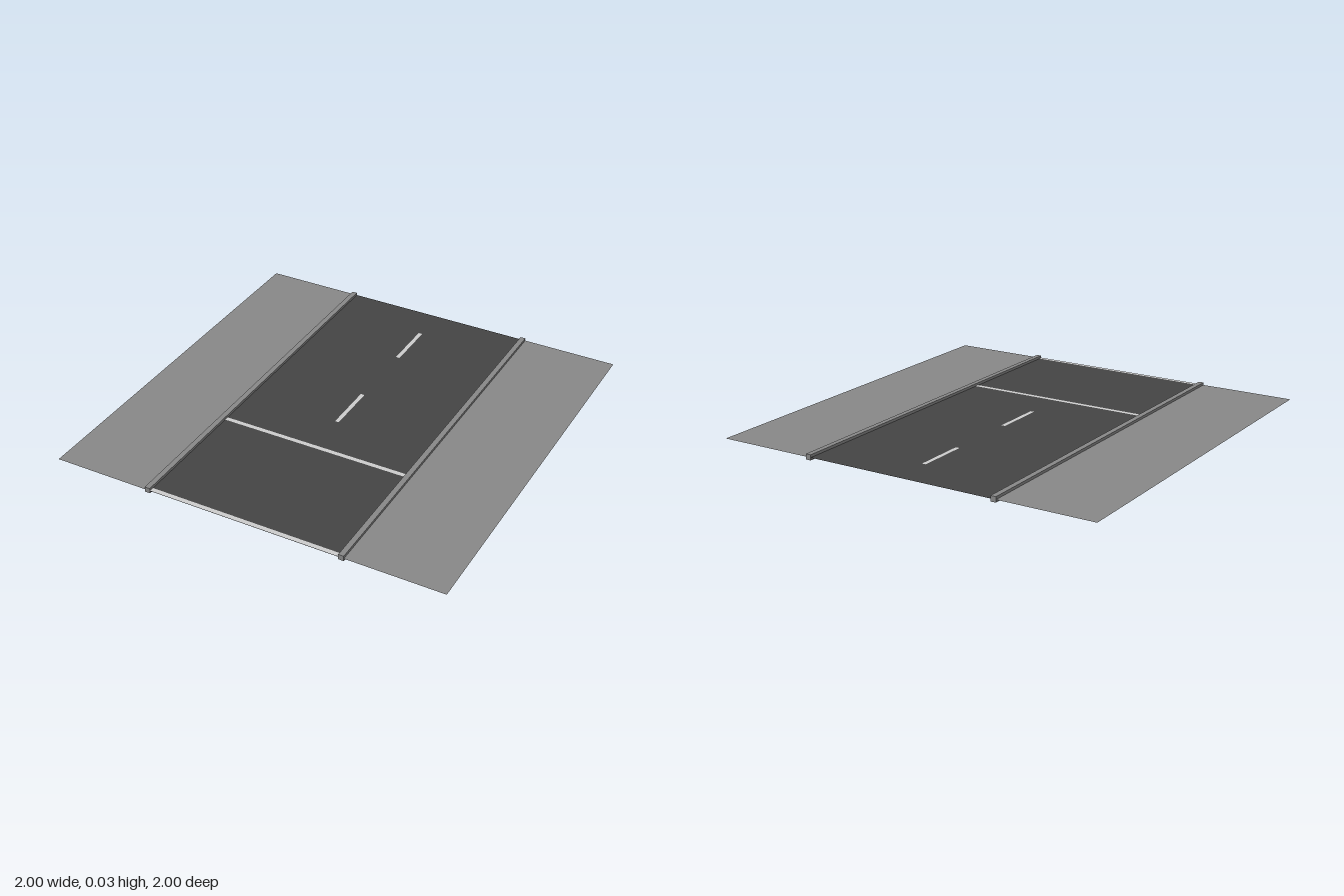
import * as THREE from 'three';

const CURB = 0.027;       // curb cross-section
const LEVEL = CURB / 2;   // height of the flat surfaces

const material = (name, color, side = THREE.FrontSide) => {
  const m = new THREE.MeshStandardMaterial({ color, side });
  m.name = name;
  return m;
};

export function createModel() {
  const group = new THREE.Group();
  group.name = 'roadSegment';

  const asphalt = material('asphalt', 0x444444, THREE.DoubleSide);
  const concrete = material('concrete', 0x888888, THREE.DoubleSide);
  const paint = material('roadPaint', 0xcccccc);

  // Horizontal plate facing up, given by its centre and size
  const plate = (name, mat, x, z, w, d, y = LEVEL) => {
    const mesh = new THREE.Mesh(new THREE.PlaneGeometry(w, d).rotateX(-Math.PI / 2), mat);
    mesh.position.set(x, y, z);
    mesh.name = name;
    group.add(mesh);
  };

  plate('road', asphalt, 0, 0, 1, 2);

  // Sidewalk and curb on both sides
  for (const [side, s] of [['left', 1], ['right', -1]]) {
    plate(`${side}Sidewalk`, concrete, s * 0.75, 0, 0.5, 2);
    const curb = new THREE.Mesh(new THREE.BoxGeometry(CURB, CURB, 2), concrete);
    curb.position.set(s * 0.5, LEVEL, 0);
    curb.name = `${side}Curb`;
    group.add(curb);
  }

  // Painted markings just above the asphalt
  const paintY = LEVEL + 0.002;
  for (const z of [-0.667, -0.013]) plate('laneDash', paint, 0, z, 0.02, 0.267, paintY);
  for (const z of [0.35, 0.988]) plate('crossLine', paint, 0, z, 1 - CURB, 0.022, paintY);

  return group;
}
